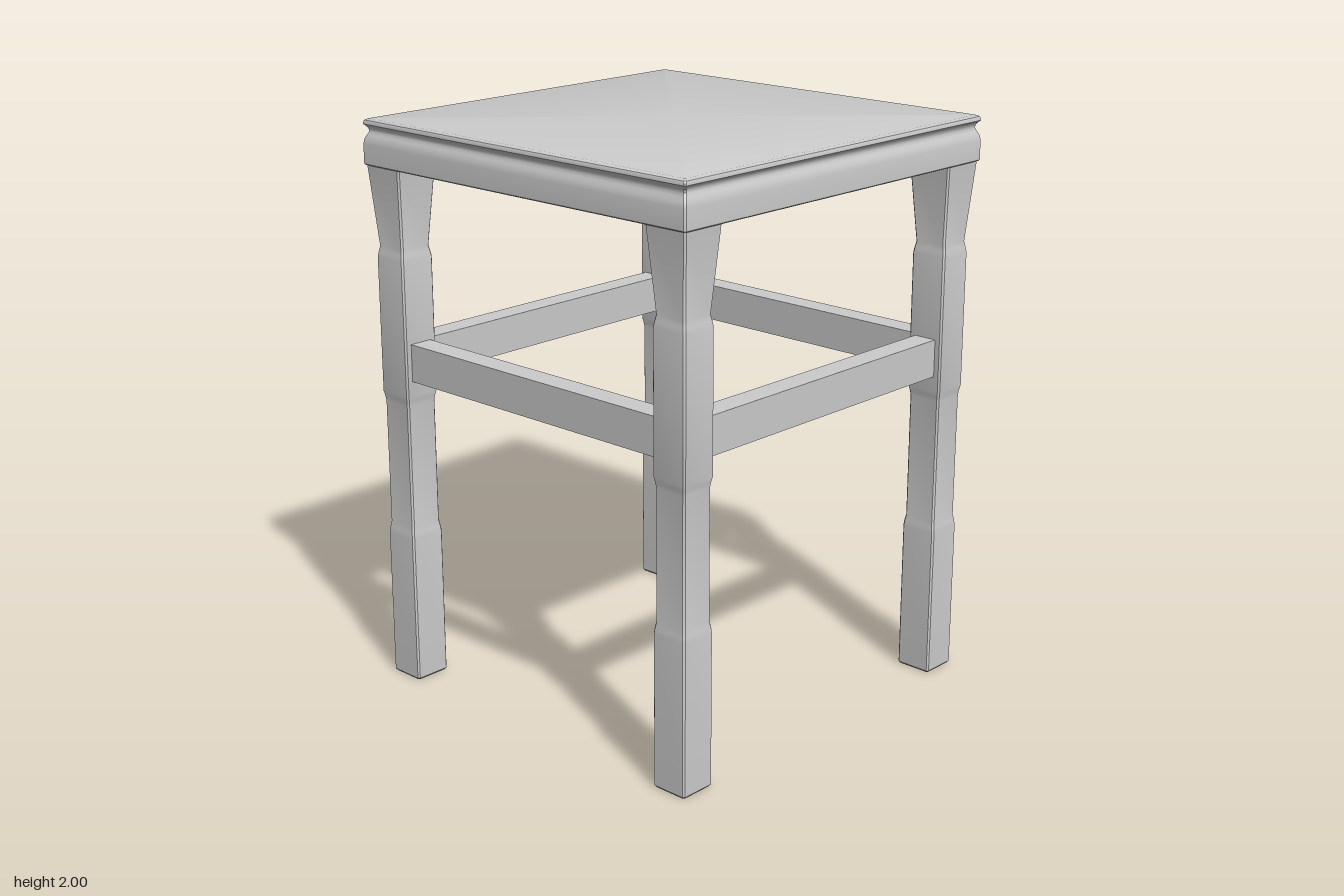
import * as THREE from 'three';
import { toCreasedNormals } from 'three/addons/utils/BufferGeometryUtils.js';

const material = new THREE.MeshStandardMaterial({ color: 0xcccccc });

// Square post with bevelled corners, lofted through [halfWidth, y] levels and capped.
function squareLoft(profile, bevel) {
  const positions = [];
  const rings = profile.map(([h, y]) => {
    const b = h - bevel;
    return [[h, -b], [h, b], [b, h], [-b, h], [-h, b], [-h, -b], [-b, -h], [b, -h]]
      .map(([x, z]) => [x, y, z]);
  });
  const tri = (...points) => points.forEach((p) => positions.push(...p));
  const last = rings.length - 1;
  const bottom = [0, profile[0][1], 0];
  const top = [0, profile[last][1], 0];
  for (let i = 0; i < 8; i++) {
    const j = (i + 1) % 8;
    for (let k = 0; k < last; k++) {
      const low = rings[k], up = rings[k + 1];
      tri(low[i], up[i], up[j]);
      tri(low[i], up[j], low[j]);
    }
    tri(bottom, rings[0][i], rings[0][j]);
    tri(top, rings[last][j], rings[last][i]);
  }
  const geometry = new THREE.BufferGeometry();
  geometry.setAttribute('position', new THREE.Float32BufferAttribute(positions, 3));
  return toCreasedNormals(geometry, 0.6);
}

export function createModel() {
  const stool = new THREE.Group();
  stool.name = 'stool';
  const add = (name, geometry, x = 0, y = 0, z = 0) => {
    const mesh = new THREE.Mesh(geometry, material);
    mesh.name = name;
    mesh.position.set(x, y, z);
    stool.add(mesh);
    return mesh;
  };

  // Seat slab with a moulded edge: flat apron, rounded shoulder, groove and lip
  add('seat', squareLoft([
    [0.728, 1.844], [0.732, 1.848], [0.732, 1.915], [0.729, 1.932], [0.722, 1.946],
    [0.717, 1.957], [0.718, 1.966], [0.724, 1.975], [0.731, 1.982], [0.731, 1.988],
    [0.727, 1.995], [0.715, 2.0],
  ], 0.006));

  // Legs: stepped square posts flaring out under the seat
  const legCentre = 0.643;
  const leg = squareLoft([
    [0.062, 0], [0.067, 0.007], [0.067, 0.535], [0.065, 0.553], [0.061, 0.575],
    [0.061, 1.02], [0.063, 1.035], [0.067, 1.055], [0.067, 1.53], [0.064, 1.548],
    [0.060, 1.568], [0.082, 1.845],
  ], 0.006);
  for (const [sx, side] of [[1, 'Left'], [-1, 'Right']]) {
    add('front' + side + 'Leg', leg, sx * legCentre, 0, legCentre);
    add('back' + side + 'Leg', leg, sx * legCentre, 0, -legCentre);
  }

  // Stretchers joining neighbouring legs
  const stretcher = new THREE.BoxGeometry(1.16, 0.132, 0.085);
  ['front', 'left', 'back', 'right'].forEach((name, i) => {
    const angle = i * Math.PI / 2;
    const rail = add(name + 'Stretcher', stretcher,
      Math.sin(angle) * legCentre, 1.174, Math.cos(angle) * legCentre);
    rail.rotation.y = angle;
  });

  return stool;
}
